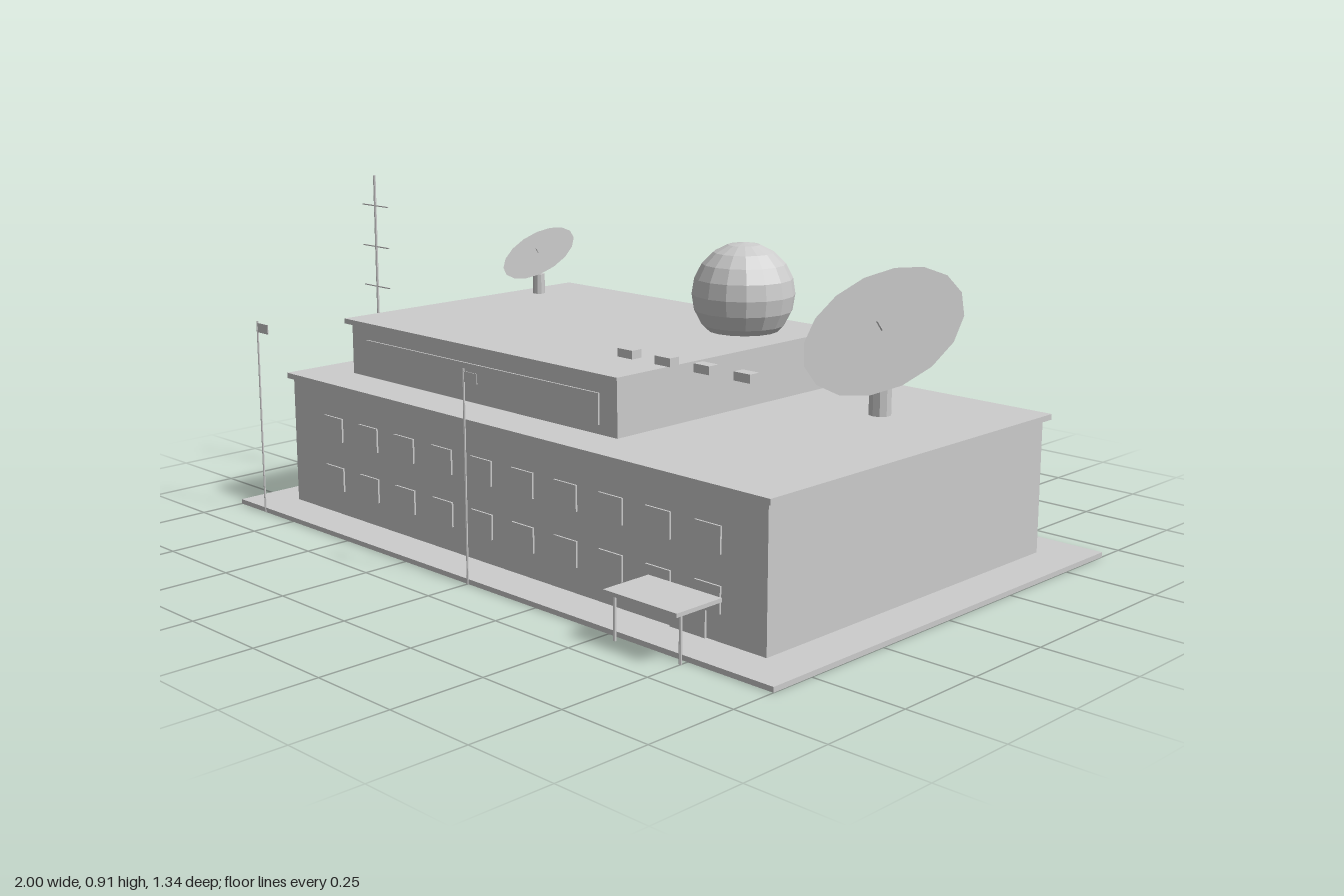
import * as THREE from 'three';

export function createModel() {
  const root = new THREE.Group();
  root.name = 'antennaStation';
  const grey = new THREE.MeshStandardMaterial({ color: 0xcccccc, flatShading: true });
  grey.name = 'concrete grey';

  function add(name, geometry, parent = root) {
    const mesh = new THREE.Mesh(geometry, grey);
    mesh.name = name;
    parent.add(mesh);
    return mesh;
  }
  // box given by its limits on each axis
  function box(name, x0, x1, y0, y1, z0, z1, parent = root) {
    const mesh = add(name, new THREE.BoxGeometry(x1 - x0, y1 - y0, z1 - z0), parent);
    mesh.position.set((x0 + x1) / 2, (y0 + y1) / 2, (z0 + z1) / 2);
    return mesh;
  }
  // upright round post
  function post(name, x, z, y0, y1, r, sides, parent = root) {
    const mesh = add(name, new THREE.CylinderGeometry(r, r, y1 - y0, sides), parent);
    mesh.position.set(x, (y0 + y1) / 2, z);
    return mesh;
  }

  // ground slab and the two storeys with overhanging roofs
  box('groundSlab', -1, 1, 0, 0.013, -0.67, 0.625);
  box('mainBlock', -0.885, 0.88, 0.013, 0.366, -0.55, 0.51);
  box('mainRoof', -0.9, 0.895, 0.366, 0.381, -0.567, 0.522);
  box('upperBlock', -0.765, 0.292, 0.381, 0.522, -0.434, 0.391);
  box('upperRoof', -0.782, 0.305, 0.522, 0.536, -0.449, 0.405);

  // two rows of windows on the front and back walls
  for (let i = 0; i < 10; i++) {
    const x = -0.7 + i * 0.156;
    for (const y of [0.08, 0.22]) {
      box('frontWindow', x - 0.04, x + 0.04, y, y + 0.066, 0.508, 0.515);
      box('backWindow', x - 0.04, x + 0.04, y, y + 0.066, -0.556, -0.549);
    }
  }
  box('windowStrip', -0.7, 0.23, 0.405, 0.485, 0.389, 0.396);

  // entrance
  box('door', 0.59, 0.7, 0.013, 0.1, 0.508, 0.516);
  box('canopy', 0.53, 0.76, 0.116, 0.126, 0.525, 0.67);
  for (const x of [0.542, 0.748]) post('canopyLeg', x, 0.645, 0, 0.116, 0.004, 6);

  // radar dome
  const dome = add('radarDome', new THREE.SphereGeometry(0.14, 16, 10));
  dome.position.set(0.115, 0.635, -0.258);

  // dish: flat face, shallow conical back and a short feed, tilted to the front
  function dish(x, y, z, r, tilt, postBase, postTop, postRadius) {
    const group = new THREE.Group();
    group.name = 'satelliteDish';
    root.add(group);
    post('dishPost', x, z, postBase, postTop, postRadius, 10, group);
    const head = new THREE.Group();
    head.name = 'dishHead';
    head.position.set(x, y, z);
    head.rotation.x = tilt;
    group.add(head);
    const bowl = add('dishBowl', new THREE.CylinderGeometry(r, r * 0.1, r * 0.06, 16), head);
    bowl.position.y = -r * 0.03;
    const feed = add('dishFeed', new THREE.CylinderGeometry(r * 0.015, r * 0.015, r * 0.16, 6), head);
    feed.position.y = r * 0.08;
  }
  dish(0.587, 0.6, -0.255, 0.219, 0.705, 0.381, 0.53, 0.03);
  dish(-0.707, 0.658, -0.256, 0.117, 0.61, 0.536, 0.595, 0.018);

  // row of ventilation units
  for (let i = 0; i < 4; i++) {
    const x = 0.155 + i * 0.131;
    box('roofUnit', x - 0.026, x + 0.026, 0.536, 0.558, 0.197, 0.23);
  }

  // radio mast with crossbars
  post('radioMast', -0.881, 0.213, 0.381, 0.913, 0.004, 6);
  for (const y of [0.592, 0.708, 0.826]) {
    box('mastCrossbar', -0.94, -0.822, y - 0.0015, y + 0.0015, 0.2115, 0.2145);
  }

  // flagpoles
  for (const x of [-0.881, 0]) {
    post('flagpole', x, 0.625, 0, 0.545, 0.003, 6);
    box('flag', x, x + 0.05, 0.514, 0.54, 0.624, 0.626);
  }

  return root;
}
